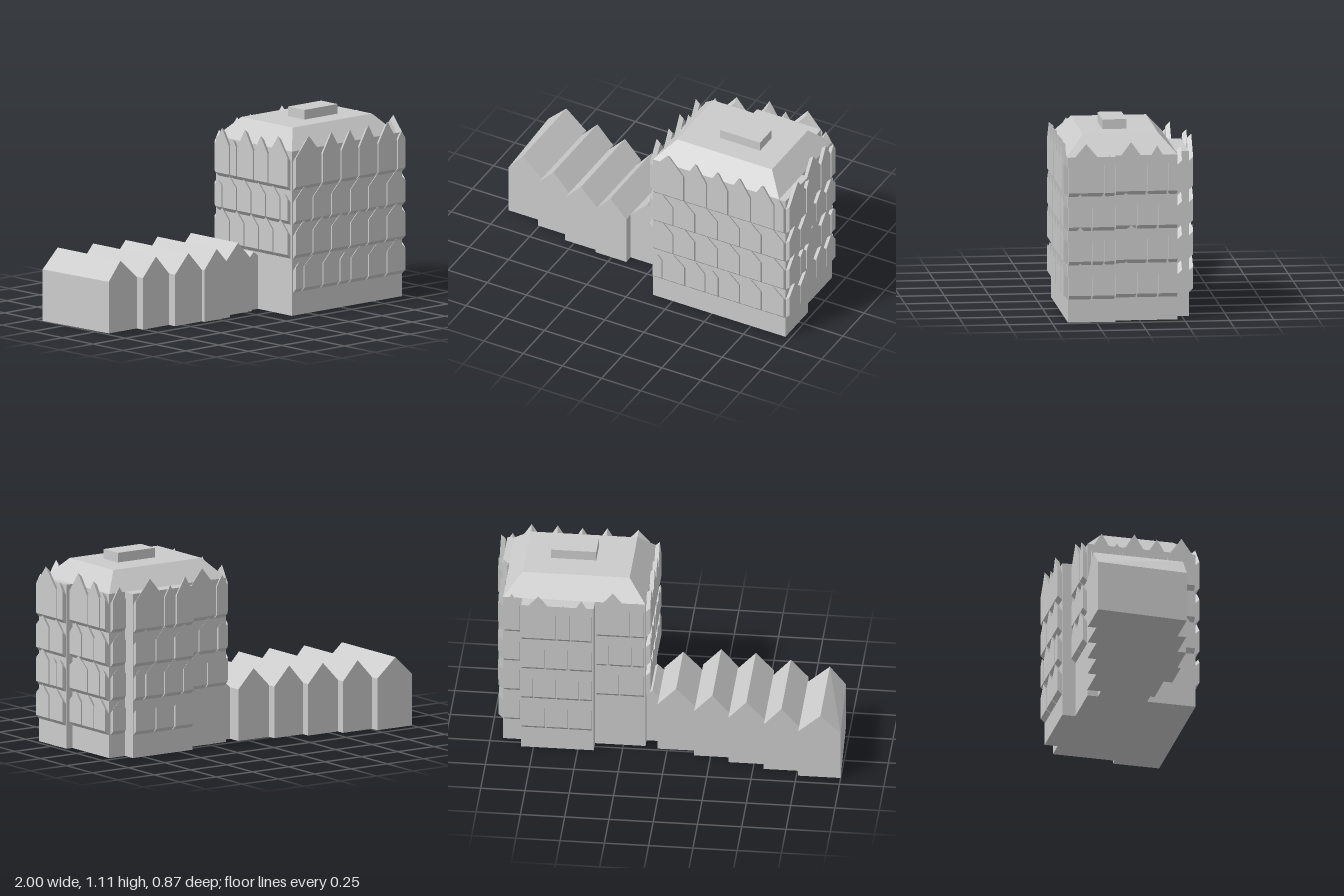
import * as THREE from 'three';

const mat = new THREE.MeshStandardMaterial({ color: 0xcccccc, flatShading: true });

function add(parent, geo, name) {
  const m = new THREE.Mesh(geo, mat);
  m.name = name;
  parent.add(m);
  return m;
}

const polygon = pts => new THREE.Shape(pts.map(p => new THREE.Vector2(p[0], p[1])));
const prism = (pts, depth) => new THREE.ExtrudeGeometry(polygon(pts), { depth, bevelEnabled: false });

// pointed facade panel, sheared so its outer face sits higher than its back
const THICK = 0.025;
function panel(u0, u1, row) {
  const w = u1 - u0, apex = row.shoulder + Math.min(row.rise, w * row.slope);
  const geo = prism([[u0, row.bottom], [u1, row.bottom], [u1, row.shoulder],
    [(u0 + u1) / 2, apex], [u0, row.shoulder]], THICK);
  const p = geo.attributes.position;
  for (let i = 0; i < p.count; i++) p.setY(i, p.getY(i) + (p.getZ(i) - THICK) * 0.95);
  geo.computeVertexNormals();
  return geo;
}

const rows = [
  { bottom: 0.155, shoulder: 0.28, rise: 0.06, slope: 0.55 },
  { bottom: 0.35, shoulder: 0.48, rise: 0.065, slope: 0.55 },
  { bottom: 0.545, shoulder: 0.67, rise: 0.065, slope: 0.55 },
  { bottom: 0.74, shoulder: 0.905, rise: 0.115, slope: 0.85 },
];

// each wall: facing angle, distance from the axis, panel edges per row (bottom to top)
const walls = [
  { name: 'frontPanels', angle: 0, dist: 0.41, edges: [
    [0.13, 0.195, 0.34, 0.47, 0.555, 0.69, 0.83, 0.975],
    [0.13, 0.265, 0.405, 0.55, 0.69, 0.83, 0.975],
    [0.13, 0.265, 0.405, 0.55, 0.69, 0.83, 0.975],
    [0.13, 0.335, 0.48, 0.615, 0.76, 0.91, 0.975]] },
  { name: 'leftBayPanels', angle: Math.PI / 2, dist: 0.97, edges: [
    [-0.41, -0.277, -0.145], [-0.41, -0.277, -0.208, -0.145],
    [-0.41, -0.277, -0.145], [-0.41, -0.208, -0.145]] },
  { name: 'leftPanels', angle: Math.PI / 2, dist: 0.93, edges: [
    [-0.14, -0.02, 0.1, 0.215], [-0.14, 0.04, 0.155, 0.215],
    [-0.14, -0.02, 0.1, 0.215], [-0.14, 0.037, 0.155, 0.215]] },
  { name: 'backCornerPanels', angle: Math.PI, dist: 0.215, edges: [
    [-0.925, -0.83], [-0.925, -0.83], [-0.925, -0.83], [-0.925, -0.83]] },
  { name: 'backBayPanels', angle: Math.PI, dist: 0.29, edges: [
    [-0.82, -0.68, -0.55, -0.415], [-0.82, -0.75, -0.62, -0.49, -0.415],
    [-0.82, -0.68, -0.55, -0.415], [-0.82, -0.62, -0.54, -0.415]] },
  { name: 'backPanels', angle: Math.PI, dist: 0.215, edges: [
    [], [-0.405, -0.27, -0.13], [-0.405, -0.33, -0.2, -0.13], [-0.405, -0.21, -0.13]] },
  { name: 'rightPanels', angle: -Math.PI / 2, dist: -0.125, edges: [
    [], [-0.2, -0.08, 0.04, 0.16, 0.28, 0.405], [-0.2, -0.14, -0.02, 0.1, 0.22, 0.34, 0.405],
    [-0.2, -0.08, -0.02, 0.12, 0.24, 0.405]] },
];

// gabled annex units: x start, ridge x, x end, z back, z front, ridge height
const units = [
  [-1, -0.885, -0.76, -0.435, 0.085, 0.405],
  [-0.76, -0.66, -0.56, -0.385, 0.135, 0.405],
  [-0.56, -0.457, -0.355, -0.335, 0.185, 0.405],
  [-0.355, -0.26, -0.157, -0.285, 0.205, 0.405],
  [-0.157, -0.05, 0.055, -0.235, 0.155, 0.405],
  [0.055, 0.092, 0.14, -0.155, 0.13, 0.33],
];

// truncated pyramid roof from two rectangles
function hipRoof([ax0, ax1, az0, az1], y0, [bx0, bx1, bz0, bz1], y1) {
  const geo = new THREE.BoxGeometry(1, 1, 1);
  const p = geo.attributes.position;
  for (let i = 0; i < p.count; i++) {
    const top = p.getY(i) > 0, r = p.getX(i) > 0, f = p.getZ(i) > 0;
    p.setXYZ(i, top ? (r ? bx1 : bx0) : (r ? ax1 : ax0), top ? y1 : y0,
      top ? (f ? bz1 : bz0) : (f ? az1 : az0));
  }
  geo.computeVertexNormals();
  return geo;
}

export function createModel() {
  const model = new THREE.Group();
  model.name = 'building';

  // tower walls with a front-left bay and a back bay
  const footprint = [[0.125, -0.41], [0.97, -0.41], [0.97, -0.142], [0.93, -0.142], [0.93, 0.215],
    [0.82, 0.215], [0.82, 0.29], [0.41, 0.29], [0.41, 0.215], [0.125, 0.215]];
  add(model, prism(footprint, 0.94).rotateX(-Math.PI / 2), 'towerWalls');

  // roof and rooftop box
  add(model, hipRoof([0.125, 0.93, -0.215, 0.41], 0.94, [0.225, 0.83, -0.115, 0.31], 1.05), 'towerRoof');
  add(model, new THREE.BoxGeometry(0.255, 0.06, 0.137).translate(0.558, 1.075, 0.115), 'rooftopBox');

  // rows of pointed panels on every wall
  for (const wall of walls) {
    const group = new THREE.Group();
    group.name = wall.name;
    group.rotation.y = wall.angle;
    wall.edges.forEach((edges, r) => {
      for (let i = 0; i + 1 < edges.length; i++) {
        add(group, panel(edges[i] + 0.004, edges[i + 1] - 0.004, rows[r]), 'panel').position.z = wall.dist;
      }
    });
    model.add(group);
  }

  // stepped annex with saw-tooth gables
  const annex = new THREE.Group();
  annex.name = 'annex';
  for (const [x0, xr, x1, z0, z1, top] of units) {
    const geo = prism([[x0, 0], [x1, 0], [x1, 0.295], [xr, top], [x0, 0.295]], z1 - z0).translate(0, 0, z0);
    const p = geo.attributes.position;
    // the end wall is slightly skewed
    for (let i = 0; i < p.count; i++) if (p.getX(i) < -0.95 && p.getZ(i) > 0) p.setX(i, -0.975);
    geo.computeVertexNormals();
    add(annex, geo, 'gabledUnit');
  }
  model.add(annex);
  return model;
}
